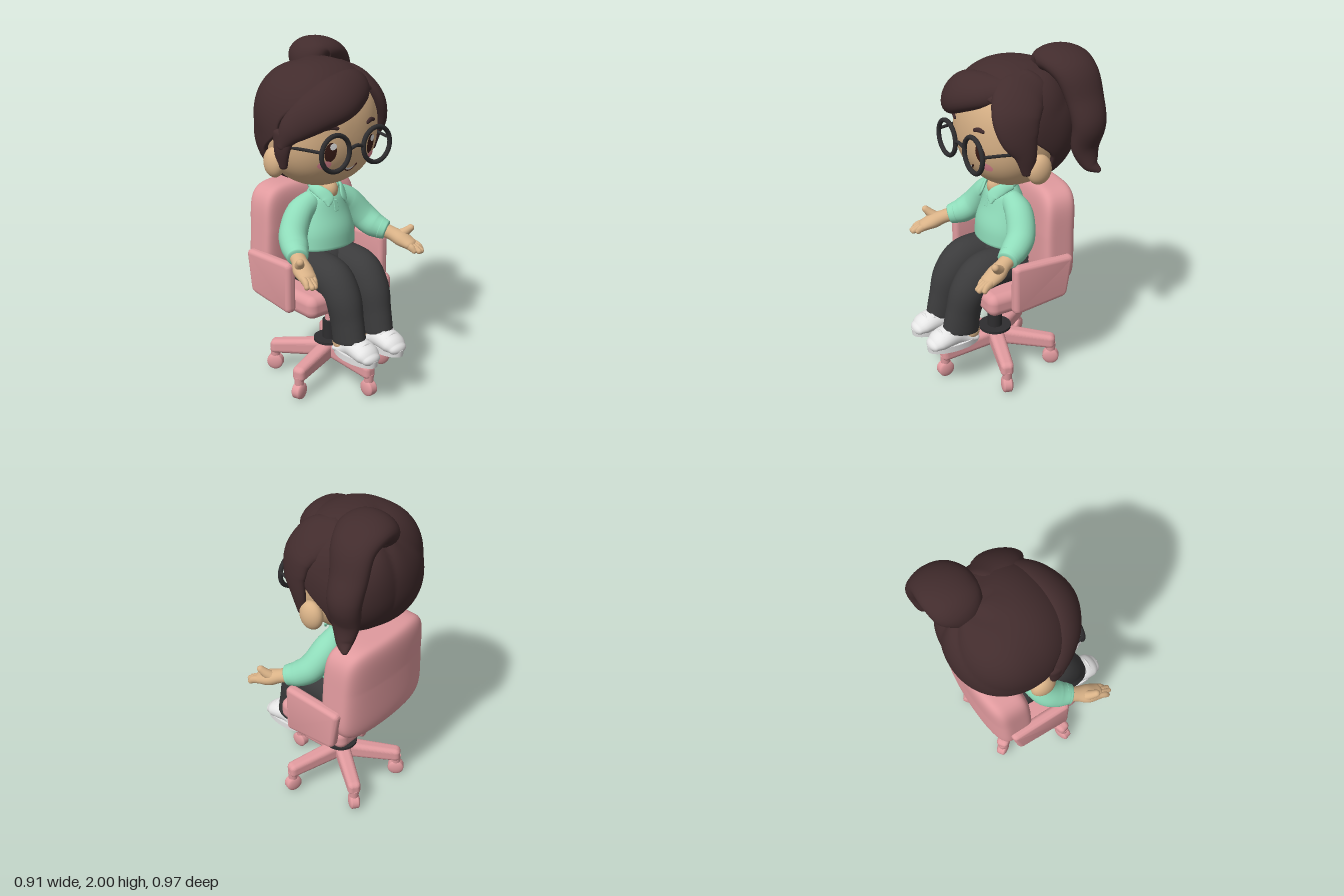
import * as THREE from 'three';
import { toCreasedNormals } from 'three/addons/utils/BufferGeometryUtils.js';
import { RoundedBoxGeometry } from 'three/addons/geometries/RoundedBoxGeometry.js';

const V = (x, y, z) => new THREE.Vector3(x, y, z);
const mat = (name, color) => Object.assign(new THREE.MeshStandardMaterial({ color }), { name });

// Closed-loop surface: rows along, cols around
function surface(rows, cols, fn) {
  const pos = [], idx = [];
  for (let i = 0; i <= rows; i++) for (let j = 0; j < cols; j++) pos.push(...fn(i, (j / cols) * Math.PI * 2).toArray());
  for (let i = 0; i < rows; i++) for (let j = 0; j < cols; j++) {
    const k = (j + 1) % cols, a = i * cols + j, b = i * cols + k, c = a + cols, d = b + cols;
    idx.push(a, b, c, b, d, c);
  }
  const g = new THREE.BufferGeometry();
  g.setAttribute('position', new THREE.Float32BufferAttribute(pos, 3));
  g.setIndex(idx);
  g.computeVertexNormals();
  return g;
}

// Sweep of ellipses through stations [x, y, z, a, b]; b lies along ref, a across it
function loft(st, ref, round = 1, cols = 24) {
  const path = new THREE.CatmullRomCurve3(st.map(s => V(s[0], s[1], s[2])));
  const rad = new THREE.CatmullRomCurve3(st.map(s => V(s[3], s[4], 0)));
  const n = (st.length - 1) * 6, cap = 5;
  return surface(n + cap * 2, cols, (i, ang) => {
    const t = Math.min(1, Math.max(0, (i - cap) / n));
    const over = i < cap ? (i - cap) / cap : i > n + cap ? (i - n - cap) / cap : 0;
    const p = path.getPoint(t), T = path.getTangent(t), r = rad.getPoint(t);
    const N = (typeof ref === 'function' ? ref(p) : ref.clone());
    N.addScaledVector(T, -N.dot(T)).normalize();
    const B = N.clone().cross(T), k = Math.cos(over * Math.PI / 2);
    p.addScaledVector(T, Math.sin(over * Math.PI / 2) * Math.min(r.x, r.y) * round);
    return p.addScaledVector(B, r.x * k * Math.cos(ang)).addScaledVector(N, r.y * k * Math.sin(ang));
  });
}

// Superellipsoid with its pole at the back, open to angle reach(s), bumped by groove(dir)
function shell(c, r, p, reach = () => Math.PI, groove = () => 0) {
  const rows = 56;
  return surface(rows, 96, (i, phi) => {
    const t = i / rows, full = reach(Math.sin(phi)), rim = full < 3 ? 0.92 : 1;
    const th = full * Math.min(1, t / rim);
    const d = V(Math.sin(th) * Math.cos(phi), Math.sin(th) * Math.sin(phi), -Math.cos(th));
    const m = Math.pow(Math.abs(d.x) ** p + Math.abs(d.y) ** p + Math.abs(d.z) ** p, -1 / p);
    const k = m * (t > rim ? 1 - 0.15 * (t - rim) / (1 - rim) : 1) * (1 + groove(d));
    return V(c.x + d.x * r.x * k, c.y + d.y * r.y * k, c.z + d.z * r.z * k);
  });
}

// Bevelled slab from a polygon with rounded corners, centred on z
function slab(pts, corner, depth, bevel) {
  const s = new THREE.Shape(), n = pts.length, q = pts.map(p => new THREE.Vector2(...p));
  q.forEach((p, i) => {
    const a = q[(i + n - 1) % n].clone().sub(p).setLength(corner).add(p);
    const b = q[(i + 1) % n].clone().sub(p).setLength(corner).add(p);
    i ? s.lineTo(a.x, a.y) : s.moveTo(a.x, a.y);
    s.quadraticCurveTo(p.x, p.y, b.x, b.y);
  });
  s.closePath();
  const g = new THREE.ExtrudeGeometry(s, { depth: depth - 2 * bevel, bevelSize: bevel, bevelThickness: bevel, bevelOffset: -bevel, bevelSegments: 5, curveSegments: 8 });
  return toCreasedNormals(g.translate(0, 0, bevel - depth / 2), 0.6);
}

const HEAD = V(0, 1.55, -0.1), HEAD_R = V(0.33, 0.34, 0.28), HP = 2.3;
const faceZ = (x, y) => HEAD.z + HEAD_R.z * Math.pow(Math.max(0, 1 - Math.abs(x / HEAD_R.x) ** HP - Math.abs((y - HEAD.y) / HEAD_R.y) ** HP), 1 / HP);

// Move every vertex of a geometry by a rule
function reshape(g, rule) {
  const p = g.attributes.position, v = V(0, 0, 0);
  for (let i = 0; i < p.count; i++) {
    rule(v.fromBufferAttribute(p, i));
    p.setXYZ(i, v.x, v.y, v.z);
  }
  g.computeVertexNormals();
  return g;
}
const onFace = (g, lift) => reshape(g, v => { v.z = faceZ(v.x, v.y) + lift; });
const spot = (x, y, rx, ry, lift) => onFace(new THREE.RingGeometry(0, 1, 28, 5).scale(rx, ry, 1).translate(x, y, 0), lift);

export function createModel() {
  const root = new THREE.Group();
  const skin = mat('skin', 0xd9b287), hair = mat('darkBrownHair', 0x422c2d), mint = mat('mintShirt', 0x8fdcba);
  const dark = mat('charcoalTrousers', 0x3b3b3c), pink = mat('pinkChair', 0xe09a9e), white = mat('white', 0xe6e6e6);
  const black = mat('blackFrame', 0x2e2d2f), brown = mat('eyeBrown', 0x3a1d18), blush = mat('blush', 0xe58a95);
  const add = (name, g, m, x = 0, y = 0, z = 0) => {
    const o = new THREE.Mesh(g, m);
    o.name = name;
    o.position.set(x, y, z);
    root.add(o);
    return o;
  };
  const ball = (name, m, x, y, z, a, b, c) => add(name, new THREE.SphereGeometry(1, 28, 20).scale(a, b, c), m, x, y, z);
  const X = V(1, 0, 0), Y = V(0, 1, 0), Z = V(0, 0, 1), out = p => p.clone().sub(HEAD);

  // Chair base: five tapered legs with casters
  for (let k = 0; k < 5; k++) {
    const a = k * Math.PI * 2 / 5;
    const leg = reshape(new RoundedBoxGeometry(0.09, 0.1, 0.37, 4, 0.03).translate(0, 0, 0.185), v => {
      const t = v.z / 0.37;
      v.x *= 1.05 - 0.2 * t;
      v.y = 0.19 - 0.035 * t + v.y * (1.1 - 0.25 * t);
    });
    add('baseLeg', leg, pink, 0, 0, -0.02).rotation.y = a;
    const x = Math.sin(a) * 0.345, z = Math.cos(a) * 0.345 - 0.02;
    add('casterStem', new THREE.CylinderGeometry(0.03, 0.026, 0.08, 18), pink, x, 0.1, z);
    const wheel = new THREE.CapsuleGeometry(0.018, 0.034, 6, 24).rotateZ(Math.PI / 2).scale(1, 2.75, 2.75);
    add('casterWheel', wheel, pink, x, 0.052, z).rotation.y = a;
  }
  add('baseCollar', new THREE.CylinderGeometry(0.098, 0.098, 0.016, 36), black, 0, 0.247, -0.02);
  add('lowerColumn', new THREE.CylinderGeometry(0.045, 0.045, 0.12, 28), black, 0, 0.31, -0.02);
  add('middleColumn', new THREE.CylinderGeometry(0.029, 0.029, 0.08, 24), pink, 0, 0.41, -0.02);
  add('upperColumn', new THREE.CylinderGeometry(0.029, 0.029, 0.08, 24), skin, 0, 0.49, -0.02);

  // Seat, cushioned backrest and side panels
  add('seat', new RoundedBoxGeometry(0.64, 0.135, 0.49, 6, 0.05), pink, 0, 0.583, -0.055);
  add('backrest', reshape(shell(V(0, 0.91, -0.29), V(0.345, 0.3, 0.115), 5.5), v => {
    v.x *= 1 - 0.17 * (v.y - 0.9);
    v.z += 0.3 * v.x * v.x - 0.04 * Math.max(0, v.y - 0.95);
  }), pink);
  for (const s of [-1, 1])
    add('armPanel', slab([[-0.07, 0.54], [0.28, 0.575], [0.32, 0.83], [-0.07, 0.845]], 0.035, 0.065, 0.026).rotateY(Math.PI / 2), pink, s * 0.355, 0, 0);

  // Torso, neck and open collar
  add('shirt', loft([[0, 0.85, -0.05, 0.187, 0.13], [0, 0.93, -0.055, 0.183, 0.133], [0, 1.04, -0.07, 0.16, 0.118], [0, 1.13, -0.076, 0.13, 0.102], [0, 1.19, -0.08, 0.085, 0.075]], Z, 0.15, 36), mint);
  add('neck', new THREE.CylinderGeometry(0.062, 0.066, 0.16, 24), skin, 0, 1.2, -0.075);
  ball('neckline', skin, 0, 1.185, -0.03, 0.05, 0.062, 0.058);
  add('collarBand', new THREE.TorusGeometry(0.076, 0.015, 12, 36, 5.2).rotateZ(Math.PI / 2 + 0.54).rotateX(1.75), mint, 0, 1.197, -0.08);
  add('placket', new RoundedBoxGeometry(0.03, 0.07, 0.012, 3, 0.004), mint, 0, 1.1, 0.031).rotation.x = -0.2;

  for (const s of [-1, 1]) {
    const L = (st, ref, round, cols) => loft(st.map(p => [s * p[0], ...p.slice(1)]), ref, round, cols);
    add('collarFlap', L([[0.09, 1.2, -0.08, 0.02, 0.012], [0.083, 1.19, -0.015, 0.032, 0.011], [0.06, 1.155, 0.03, 0.036, 0.01], [0.066, 1.112, 0.045, 0.008, 0.008]], p => V(p.x, 0.05, p.z + 0.075), 0.6), mint);

    // Arm and open hand
    add('sleeve', L([[0.09, 1.12, -0.07, 0.06, 0.07], [0.18, 1.075, -0.07, 0.08, 0.075], [0.265, 0.965, -0.03, 0.082, 0.08], [0.3, 0.915, 0.03, 0.078, 0.075], [0.33, 0.893, 0.085, 0.062, 0.06]], Y, 0.2), mint);
    add('cuff', L([[0.32, 0.898, 0.07, 0.067, 0.065], [0.337, 0.888, 0.097, 0.06, 0.058]], Y, 0.2), mint);
    add('palm', L([[0.325, 0.893, 0.07, 0.044, 0.044], [0.35, 0.875, 0.13, 0.044, 0.04], [0.376, 0.85, 0.19, 0.056, 0.044], [0.392, 0.828, 0.25, 0.05, 0.032]], Y), skin);
    for (let f = 0; f < 4; f++) {
      const u = f * 0.019, e = f === 0 || f === 3 ? 0.022 : 0;
      add('finger', L([[0.36 + u, 0.832, 0.23, 0.019, 0.025], [0.372 + u, 0.816, 0.28, 0.018, 0.022], [0.378 + u, 0.8, 0.318 - e, 0.015, 0.017]], Y, 1, 14), skin);
    }
    add('thumb', L([[0.375, 0.86, 0.16, 0.032, 0.032], [0.402, 0.888, 0.195, 0.027, 0.027], [0.42, 0.916, 0.222, 0.021, 0.021]], Z, 1, 16), skin);

    // Leg, ankle and shoe
    add('trouserLeg', L([[0.1, 0.715, -0.12, 0.12, 0.108], [0.106, 0.722, 0.03, 0.12, 0.109], [0.109, 0.702, 0.135, 0.122, 0.11], [0.109, 0.615, 0.215, 0.114, 0.103], [0.107, 0.49, 0.253, 0.107, 0.086], [0.106, 0.372, 0.272, 0.113, 0.081]], X, 0.12, 32), dark);
    ball('ankle', skin, s * 0.102, 0.345, 0.215, 0.062, 0.055, 0.064);
    add('shoe', L([[0.1, 0.308, 0.19, 0.064, 0.028], [0.1, 0.32, 0.25, 0.066, 0.04], [0.1, 0.345, 0.315, 0.073, 0.062], [0.102, 0.345, 0.37, 0.079, 0.062], [0.103, 0.333, 0.42, 0.077, 0.052], [0.103, 0.32, 0.45, 0.062, 0.036]], Y), white);
    add('sole', new THREE.CylinderGeometry(1, 0.97, 1, 40).scale(0.078, 0.04, 0.169), white, s * 0.102, 0.297, 0.32);
    for (const [y, z, w] of [[0.409, 0.365, 0.046], [0.394, 0.405, 0.046]])
      add('lace', L([[0.102 - w, y - 0.018, z, 0.009, 0.009], [0.102, y, z, 0.009, 0.009], [0.102 + w, y - 0.018, z, 0.009, 0.009]], Y, 1, 10), white);

    // Ear, eye, brow and cheek
    ball('ear', skin, s * 0.335, 1.39, -0.1, 0.05, 0.085, 0.073);
    add('eye', spot(s * 0.146, 1.463, 0.034, 0.056, 0.004), brown);
    add('eyeHighlight', spot(s * 0.146 + 0.01, 1.496, 0.019, 0.019, 0.007), white);
    add('cheek', spot(s * 0.168, 1.391, 0.036, 0.025, 0.006), blush);
    const brow = [[0.11, 1.594], [0.14, 1.603], [0.17, 1.598]].map(([x, y], i) => [x, y, faceZ(x, y) + 0.003, i === 1 ? 0.014 : 0.01, 0.009]);
    add('eyebrow', L(brow, Z, 1, 12), hair);

    // Glasses rim and temple
    add('glassesRim', new THREE.TorusGeometry(0.1, 0.0135, 14, 48), black, s * 0.151, 1.468, 0.203);
    add('glassesTemple', L([[0.25, 1.49, 0.203, 0.009, 0.009], [0.274, 1.49, 0.11, 0.009, 0.009], [0.31, 1.49, -0.01, 0.009, 0.009]], Y, 1, 10), black);
  }
  ball('hips', dark, 0, 0.735, -0.08, 0.185, 0.12, 0.13);
  add('glassesBridge', loft([[-0.052, 1.475, 0.203, 0.01, 0.01], [0, 1.49, 0.208, 0.01, 0.01], [0.052, 1.475, 0.203, 0.01, 0.01]], Y, 1, 10), black);

  // Head and mouth
  add('head', shell(HEAD, HEAD_R, HP), skin);
  const grin = new THREE.Shape();
  grin.moveTo(-0.046, 1.366);
  grin.quadraticCurveTo(0, 1.332, 0.046, 1.366);
  grin.quadraticCurveTo(0, 1.305, -0.046, 1.366);
  add('teeth', onFace(new THREE.ShapeGeometry(grin, 14), 0.005), white);
  const lip = [[-0.05, 1.37], [-0.027, 1.346], [0, 1.335], [0.027, 1.346], [0.05, 1.37]];
  add('smile', loft(lip.map(([x, y]) => [x, y - 0.003, faceZ(x, y), 0.004, 0.006]), Z, 1, 8), brown);

  // Hair cap: low at the nape, lifted round the ears, forward over the crown
  const step = THREE.MathUtils.smoothstep;
  const reach = s => (80 + 24 * step(s, -0.4, 0.05) + 34 * step(s, 0.05, 0.9)) * Math.PI / 180;
  const groove = d => 0.04 * (Math.abs(Math.sin(3.5 * Math.atan2(d.x - 0.25, 0.85 - d.y))) - 0.6) * step(-d.z, -0.1, 0.35);
  add('hairCap', shell(V(-0.003, 1.57, -0.13), V(0.355, 0.355, 0.345), 2.2, reach, groove), hair);

  // Swept fringe, side lock and sideburn
  add('fringe', loft([[0.17, 1.80, 0.0, 0.07, 0.06], [0.06, 1.787, 0.095, 0.11, 0.075], [-0.09, 1.745, 0.14, 0.13, 0.085], [-0.22, 1.68, 0.1, 0.115, 0.075], [-0.31, 1.59, 0.03, 0.08, 0.05], [-0.35, 1.5, -0.01, 0.03, 0.022]], out, 1, 32), hair);
  add('sideLock', loft([[0.19, 1.83, -0.14, 0.1, 0.05], [0.235, 1.775, -0.03, 0.14, 0.06], [0.29, 1.69, 0.02, 0.13, 0.055], [0.325, 1.59, 0.02, 0.105, 0.04], [0.338, 1.49, -0.012, 0.062, 0.03], [0.332, 1.385, -0.03, 0.035, 0.02]], out, 1, 32), hair);
  add('sideburn', loft([[-0.335, 1.56, -0.01, 0.07, 0.032], [-0.342, 1.47, -0.02, 0.05, 0.027], [-0.332, 1.385, -0.03, 0.033, 0.02]], out), hair);

  // Ponytail arching up and falling to a flicked tip
  add('ponytail', loft([[0.065, 1.83, -0.29, 0.07, 0.1], [0.11, 1.912, -0.325, 0.085, 0.145], [0.2, 1.927, -0.335, 0.073, 0.15], [0.295, 1.875, -0.35, 0.073, 0.13], [0.352, 1.745, -0.37, 0.07, 0.112], [0.39, 1.62, -0.375, 0.074, 0.1], [0.372, 1.48, -0.37, 0.056, 0.085], [0.402, 1.385, -0.39, 0.036, 0.05], [0.437, 1.355, -0.42, 0.014, 0.018]], Z, 0.8, 32), hair);

  // Whole figure sits slightly off its own centre line
  root.children.forEach(o => { o.position.x -= 0.012; });
  return root;
}
